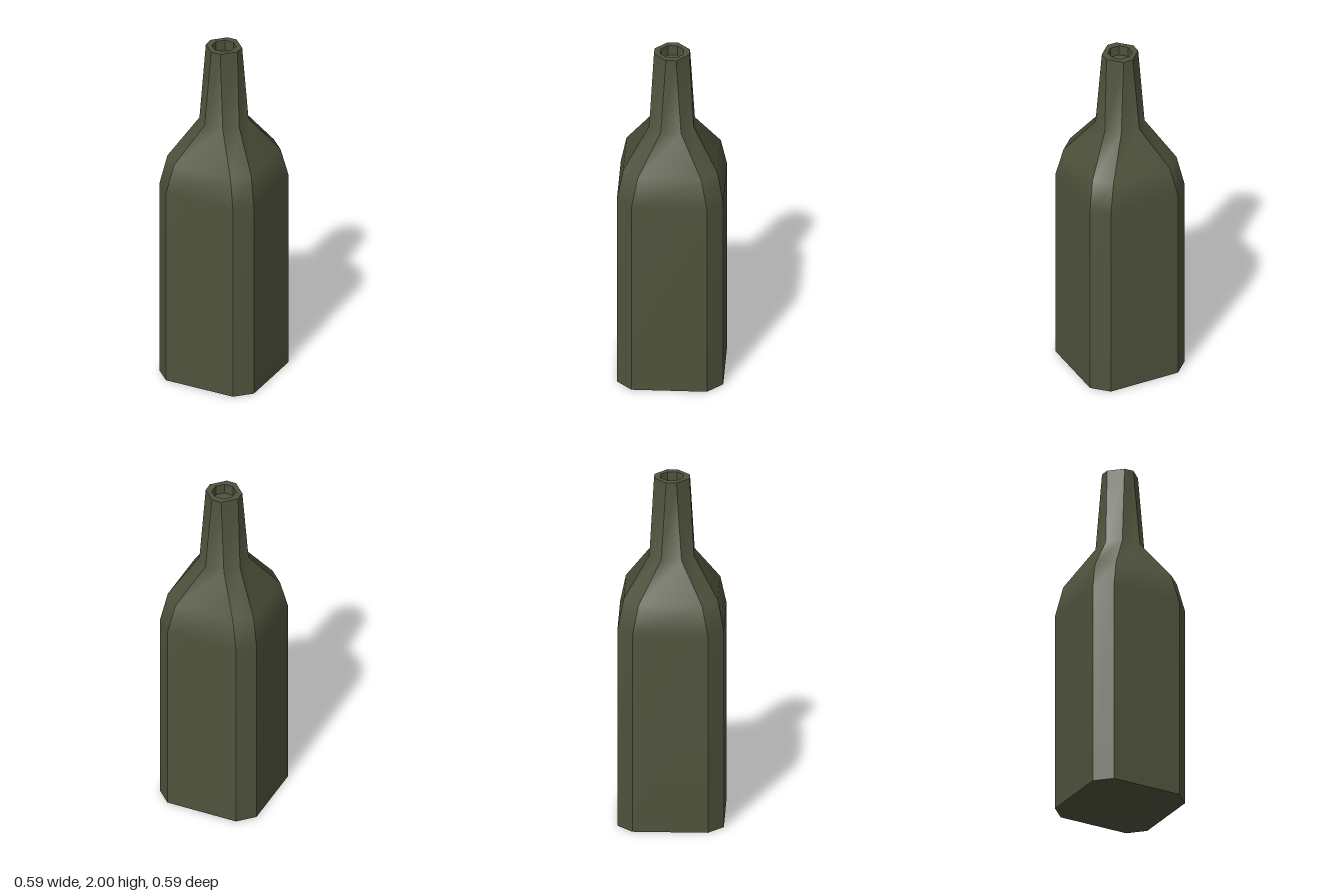
import * as THREE from 'three';

// Chamfered-square ring: half = half width, flat = half length of each flat side
function ring([y, half, flat]) {
  return [
    [-flat, half], [flat, half], [half, flat], [half, -flat],
    [flat, -half], [-flat, -half], [-half, -flat], [-half, flat],
  ].map(([x, z]) => [x, y, z]);
}

// Joins rings into eight strips, each smooth along its length with hard edges between
function loft(sections) {
  const rings = sections.map(ring);
  const positions = [], indices = [];
  for (let side = 0; side < 8; side++) {
    const start = positions.length / 3;
    rings.forEach((r, i) => {
      positions.push(...r[side], ...r[(side + 1) % 8]);
      if (i === 0) return;
      const a = start + (i - 1) * 2;
      indices.push(a, a + 1, a + 3, a, a + 3, a + 2);
    });
  }
  const geometry = new THREE.BufferGeometry();
  geometry.setAttribute('position', new THREE.Float32BufferAttribute(positions, 3));
  geometry.setIndex(indices);
  geometry.computeVertexNormals();
  return geometry;
}

export function createModel() {
  const glass = new THREE.MeshStandardMaterial({ color: 0x50533d });
  glass.name = 'dark olive glass';
  const bottle = new THREE.Group();
  bottle.name = 'bottle';

  // Each part is a list of [height, half width, half flat]
  const parts = {
    base: [[0, 0, 0], [0, 0.293, 0.208]],
    bodyAndNeck: [
      [0, 0.293, 0.208],
      [1.165, 0.293, 0.208],
      [1.335, 0.26, 0.175],
      [1.55, 0.123, 0.056],
      [2, 0.098, 0.028],
    ],
    rim: [[2, 0.098, 0.028], [2, 0.062, 0.026]],
    mouthWall: [[2, 0.062, 0.026], [1.94, 0.062, 0.026]],
    mouthFloor: [[1.94, 0.062, 0.026], [1.94, 0, 0]],
  };
  for (const [name, sections] of Object.entries(parts)) {
    const mesh = new THREE.Mesh(loft(sections), glass);
    mesh.name = name;
    bottle.add(mesh);
  }
  return bottle;
}
